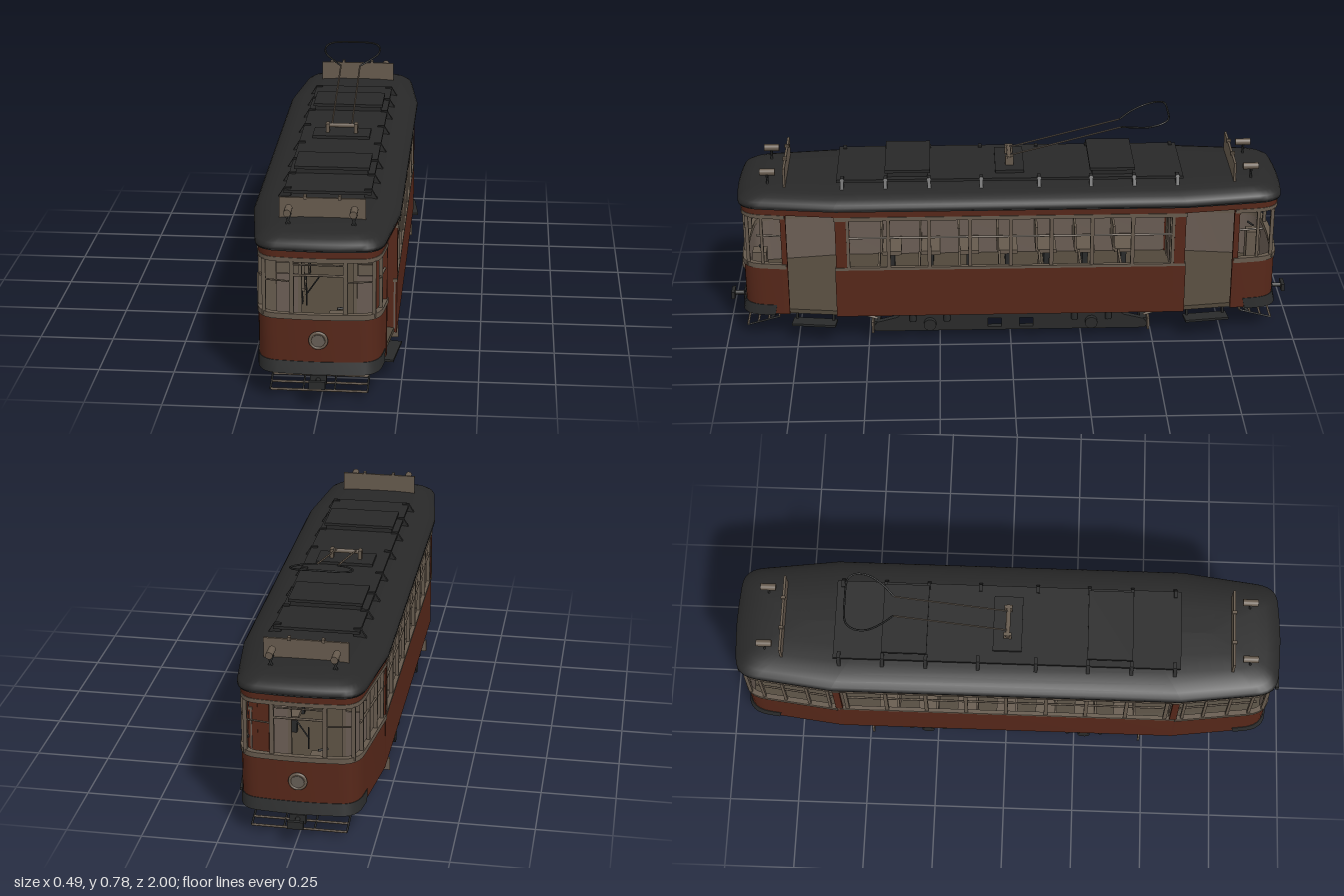
import * as THREE from 'three';
import { toCreasedNormals } from 'three/addons/utils/BufferGeometryUtils.js';

const mat = (name, color) => {
  const m = new THREE.MeshStandardMaterial({ color });
  m.name = name;
  return m;
};

export function createModel() {
  const red = mat('body red', 0x562719);
  const trim = mat('window trim brown', 0x665a4d);
  const lining = mat('interior lining', 0x6a5d54);
  const roofGrey = mat('roof grey', 0x282828);
  const iron = mat('iron', 0x292a2a);
  const apronGrey = mat('apron grey', 0x2c2d2d);
  const floorBrown = mat('floor brown', 0x50473a);
  const lens = mat('lamp lens', 0x655d55);

  const tram = new THREE.Group();
  tram.name = 'tram';
  tram.position.x = -0.005;

  const add = (name, geo, material) => {
    const m = new THREE.Mesh(geo, material);
    m.name = name;
    tram.add(m);
    return m;
  };
  // box from its limits on each axis
  const box = (name, x0, x1, y0, y1, z0, z1, m) => add(name,
    new THREE.BoxGeometry(x1 - x0, y1 - y0, Math.abs(z1 - z0))
      .translate((x0 + x1) / 2, (y0 + y1) / 2, (z0 + z1) / 2), m);
  const rod = (name, a, b, r, m, sides = 8) => {
    const p = new THREE.Vector3(...a), q = new THREE.Vector3(...b);
    const o = add(name, new THREE.CylinderGeometry(r, r, p.distanceTo(q), sides), m);
    o.position.copy(p).add(q).multiplyScalar(0.5);
    o.quaternion.setFromUnitVectors(new THREE.Vector3(0, 1, 0), q.sub(p).normalize());
    return o;
  };
  // flat plan shape of [x, z] points raised from y0 to y1
  const plate = (name, pts, y0, y1, m) => add(name, toCreasedNormals(
    new THREE.ExtrudeGeometry(new THREE.Shape(pts.map(([x, z]) => new THREE.Vector2(x, -z))),
      { depth: y1 - y0, bevelEnabled: false }).rotateX(-Math.PI / 2).translate(0, y0, 0), 0.6), m);
  // shifts a plan path outward by d
  const offset = (path, d) => path.map(([x, z], i) => {
    const dir = (a, b) => new THREE.Vector2(b[0] - a[0], b[1] - a[1]).normalize();
    const t1 = dir(path[Math.max(i - 1, 0)], path[Math.max(i, 1)]);
    const t2 = i < path.length - 1 ? dir(path[i], path[i + 1]) : t1;
    const t = t1.clone().add(t2).normalize();
    const k = d / t.dot(t1);
    return [x + t.y * k, z - t.x * k];
  });
  // wall strip following a plan path, between offsets d0 and d1
  const band = (name, path, y0, y1, d0, d1, m) =>
    plate(name, [...offset(path, d1), ...offset(path, d0).reverse()], y0, y1, m);

  // plan of the body: tapered ends with rounded corners
  const corner = new THREE.QuadraticBezierCurve(new THREE.Vector2(0.198, 0.856),
    new THREE.Vector2(0.19, 0.93), new THREE.Vector2(0.13, 0.933));
  const quarter = [[0.23, 0.6], ...corner.getPoints(6).map((p) => p.toArray()), [0.065, 0.938], [0, 0.94]];
  const front = [...quarter, ...quarter.slice(0, -1).reverse().map(([x, z]) => [-x, z])];
  const back = front.map(([x, z]) => [-x, -z]);
  const plan = [...front, ...back];
  const ring = [[0.23, 0], ...plan, [0.23, 0]];
  const taperX = (z) => 0.23 - (Math.abs(z) - 0.6) * 0.125;
  const shell = [[taperX(0.78), 0.78], ...front.slice(1), ...back.slice(0, -1), [taperX(0.78), -0.78]];
  const side = [[0.23, -0.61], [0.23, 0.61]];

  // walls, with the left side open at both doors
  for (const path of [shell, side]) {
    band('lowerPanel', path, 0.105, 0.287, -0.006, 0, red);
    band('wallLining', path, 0.12, 0.287, -0.011, -0.006, lining);
    band('windowTopRail', path, 0.476, 0.49, -0.012, 0.002, trim);
  }
  band('frieze', ring, 0.49, 0.518, -0.008, 0, red);
  band('friezeLining', ring, 0.488, 0.518, -0.013, -0.008, lining);
  band('eaveTrim', ring, 0.514, 0.522, -0.002, 0.009, roofGrey);
  plate('floor', plan.map(([x, z]) => [x * 0.965, z * 0.99]), 0.106, 0.122, floorBrown);
  plate('ceiling', plan.map(([x, z]) => [x * 0.97, z * 0.99]), 0.514, 0.518, lining);

  // window posts and middle bars
  const post = (x, z, w = 0.01) => box('windowPost', x - 0.006, x + 0.006, 0.29, 0.478, z - w / 2, z + w / 2, trim);
  for (const s of [-1, 1]) {
    for (let i = -4; i <= 4; i++) post(s * 0.223, i * 0.141, 0.013);
    box('sideSill', s * 0.224 - 0.007, s * 0.224 + 0.007, 0.286, 0.296, -0.61, 0.61, trim);
    rod('middleBar', [s * 0.224, 0.408, -0.565], [s * 0.224, 0.408, 0.565], 0.004, trim, 6);
    for (const e of [-1, 1]) {
      box('bodyPillar', s > 0 ? 0.2 : -0.23, s > 0 ? 0.23 : -0.218, 0.105, 0.515, e * (s > 0 ? 0.568 : 0.582), e * 0.606, red);
      const x = (z) => s * (taperX(z) - 0.006);
      for (const z of s < 0 ? [0.625, 0.7, 0.785, 0.862] : [0.862]) post(x(z), e * z);
      const z0 = s < 0 ? 0.61 : 0.785;
      rod('endSideBar', [x(z0), 0.408, e * z0], [x(0.88), 0.408, e * 0.88], 0.004, trim, 6);
      post(s * 0.174, e * 0.913, 0.012);
      box('frontPost', s * 0.085 - 0.007, s * 0.085 + 0.007, 0.298, 0.478, e * 0.923, e * 0.935, trim);
      rod('frontSideBar', [s * 0.085, 0.408, e * 0.93], [s * 0.172, 0.408, e * 0.915], 0.003, trim, 6);
      // partition between platform and saloon, red beside the door
      box('partition', s > 0 ? 0.095 : -0.22, s > 0 ? 0.22 : -0.095, 0.122, 0.3, e * 0.592, e * 0.6, lining);
      box('partitionPost', s * 0.092 - 0.006, s * 0.092 + 0.006, 0.122, 0.515, e * 0.59, e * 0.602, trim);
      box('partitionSide', s > 0 ? 0.162 : -0.22, s > 0 ? 0.226 : -0.17, 0.122, 0.515, e * 0.588, e * 0.605, s > 0 ? red : trim);
      for (const y of [0.345, 0.36, 0.375]) rod('guardBar', [s * 0.092, y, e * 0.596], [s * 0.17, y, e * 0.596], 0.0025, trim, 6);
    }
    // saloon benches, handrail and straps
    for (let i = -3; i <= 3; i++) {
      const x0 = s > 0 ? 0.09 : -0.215, x1 = x0 + 0.125;
      box('seat', x0, x1, 0.18, 0.195, i * 0.141 - 0.035, i * 0.141 + 0.035, trim);
      box('seatBack', x0, x1, 0.19, 0.285, i * 0.141 + 0.033, i * 0.141 + 0.041, trim);
      box('seatLeg', x0 + 0.01, x1 - 0.01, 0.12, 0.18, i * 0.141 - 0.01, i * 0.141 + 0.01, iron);
    }
    rod('strapRail', [s * 0.12, 0.49, -0.57], [s * 0.12, 0.49, 0.57], 0.004, trim);
    for (const z of [0.41, 0.17, 0.07, -0.06, -0.16, -0.29, -0.37]) {
      rod('strap', [s * 0.12, 0.49, z], [s * 0.12, 0.46, z], 0.002, iron, 5);
      const loop = add('strapLoop', new THREE.TorusGeometry(0.01, 0.002, 5, 12), iron);
      loop.position.set(s * 0.12, 0.45, z);
      loop.rotation.y = Math.PI / 2;
    }
  }

  // domed roof lofted from shrinking plan rings: [inset, height]
  const levels = [[0, 0.516], [-0.01, 0.519], [-0.01, 0.529], [-0.004, 0.538], [0.014, 0.55], [0.04, 0.56], [0.08, 0.567], [0.14, 0.57], [0.23, 0.571]];
  const pos = [], idx = [], n = plan.length;
  levels.forEach(([d, y]) => plan.forEach(([x, z]) => pos.push(x * (1 - d / 0.23), y, z * (1 - d / 0.94))));
  for (let l = 0; l < levels.length - 1; l++) for (let i = 0; i < n; i++) {
    const a = l * n + i, b = l * n + (i + 1) % n;
    idx.push(a, a + n, b, b, a + n, b + n);
  }
  const roof = new THREE.BufferGeometry();
  roof.setAttribute('position', new THREE.Float32BufferAttribute(pos, 3));
  roof.setIndex(idx);
  roof.computeVertexNormals();
  add('roof', roof, roofGrey);

  // roof deck, its brackets and hatches
  box('roofDeck', -0.143, 0.143, 0.582, 0.592, -0.6, 0.6, roofGrey);
  for (const s of [-1, 1]) for (const z of [-0.58, -0.43, -0.28, -0.1, 0.1, 0.28, 0.43, 0.58]) {
    const tri = new THREE.Shape([[0.12, 0.555], [0.168, 0.555], [0.143, 0.597], [0.12, 0.597]].map(([x, y]) => new THREE.Vector2(s * x, y)));
    add('deckBracket', new THREE.ExtrudeGeometry(tri, { depth: 0.012, bevelEnabled: false }).translate(0, 0, z - 0.006), roofGrey);
  }
  for (const s of [-1, 1]) {
    box('hatch', -0.12, 0.12, 0.59, 0.61, s * 0.285, s * 0.425, roofGrey);
    box('hatchLid', -0.126, 0.126, 0.608, 0.618, s * 0.277, s * 0.433, roofGrey);
  }

  // bow collector
  box('collectorBase', -0.1, 0.1, 0.59, 0.602, -0.05, 0.05, roofGrey);
  rod('collectorPivot', [-0.058, 0.626, 0], [0.058, 0.626, 0], 0.008, trim);
  for (const s of [-1, 1]) {
    box('collectorStand', s * 0.05 - 0.006, s * 0.05 + 0.006, 0.6, 0.634, -0.014, 0.014, trim);
    rod('collectorArm', [s * 0.035, 0.63, 0], [s * 0.035, 0.732, -0.39], 0.003, trim);
  }
  const bow = [[0.035, 0.732, -0.39], [0.068, 0.744, -0.425], [0.098, 0.756, -0.475], [0.1, 0.768, -0.52], [0.08, 0.775, -0.546]];
  const bowPts = [...bow, [0, 0.778, -0.553], ...bow.map(([x, y, z]) => [-x, y, z]).reverse()].map((p) => new THREE.Vector3(...p));
  add('collectorBow', new THREE.TubeGeometry(new THREE.CatmullRomCurve3(bowPts), 60, 0.0034, 6), iron);

  // wrap-round end sills
  const endSill = shell.slice(0, front.length - 1);
  band('endSill', [...endSill, [-0.23, 0.6]], 0.284, 0.302, -0.014, 0.004, trim);
  band('endSill', [[-0.23, -0.6], ...endSill.map(([x, z]) => [x, -z]).reverse()], 0.284, 0.302, -0.014, 0.004, trim);

  // fittings at both ends
  for (const e of [-1, 1]) {
    const end = e > 0 ? front : back;
    box('doorPillar', taperX(0.78) - 0.014, taperX(0.78), 0.105, 0.515, e * 0.776, e * 0.795, red);
    rod('frontTransom', [-0.085, 0.43, e * 0.931], [0.085, 0.43, e * 0.931], 0.004, trim, 6);
    rod('frontHeader', [-0.085, 0.465, e * 0.931], [0.085, 0.465, e * 0.931], 0.003, trim, 6);
    const apronPath = [[e * taperX(0.82), e * 0.82], ...end.slice(1, -1), [-e * taperX(0.82), e * 0.82]];
    const apron = band('apron', apronPath, 0.1, 0.14, -0.004, 0.002, apronGrey);
    const p = apron.geometry.attributes.position;
    for (let i = 0; i < p.count; i++) if (p.getY(i) < 0.12) p.setZ(i, p.getZ(i) * 1.01);
    apron.geometry = toCreasedNormals(apron.geometry, 0.6);
    // headlight
    rod('headlight', [0, 0.217, e * 0.93], [0, 0.217, e * 0.95], 0.026, trim, 24);
    add('headlightRim', new THREE.TorusGeometry(0.026, 0.005, 8, 28), trim).position.set(0, 0.217, e * 0.948);
    rod('headlightLens', [0, 0.217, e * 0.949], [0, 0.217, e * 0.952], 0.02, lens, 24);
    // wiper and driver's controller
    rod('wiperArm', [0.003, 0.43, e * 0.942], [-0.038, 0.37, e * 0.944], 0.0025, iron, 5);
    rod('wiperBlade', [-0.036, 0.41, e * 0.945], [-0.036, 0.335, e * 0.945], 0.0025, iron, 5);
    box('controller', e * 0.055 - 0.025, e * 0.055 + 0.025, 0.12, 0.285, e * 0.86, e * 0.91, trim);
    rod('controllerHandle', [e * 0.055, 0.3, e * 0.885], [e * 0.085, 0.3, e * 0.87], 0.004, iron);
    // headboard and roof lamps
    box('headboard', -0.138, 0.138, 0.56, 0.634, e * 0.776, e * 0.784, trim);
    for (const s of [-1, 1]) {
      box('headboardClip', s * 0.055 - 0.005, s * 0.055 + 0.005, 0.63, 0.642, e * 0.772, e * 0.788, trim);
      for (const d of [-1, 1]) rod('lampStand', [s * 0.104 - d * 0.009, 0.555, e * 0.84], [s * 0.104 + d * 0.009, 0.602, e * 0.84], 0.004, iron, 6);
      rod('roofLamp', [s * 0.104, 0.609, e * 0.812], [s * 0.104, 0.609, e * 0.865], 0.012, trim, 14);
    }
    // coupler
    box('couplerHead', -0.026, 0.026, 0.068, 0.1, e * 0.93, e * 0.955, iron);
    rod('couplerRod', [0, 0.085, e * 0.8], [0, 0.085, e * 0.99], 0.008, iron);
    box('couplerPlate', -0.026, 0.026, 0.072, 0.098, e * 0.988, e, iron);
    // sloping lifeguard rack
    for (let i = 0; i < 4; i++) {
      const z = 0.82 + i * 0.037, y = 0.068 - i * 0.01;
      rod('rackBar', [-0.155, y, e * z], [0.155, y, e * z], 0.004, trim, 6);
    }
    for (const x of [-0.155, -0.05, 0.05, 0.155]) rod('rackRib', [x, 0.068, e * 0.82], [x, 0.038, e * 0.931], 0.0035, iron, 6);
    for (const s of [-1, 1]) rod('rackHanger', [s * 0.15, 0.11, e * 0.8], [s * 0.15, 0.06, e * 0.85], 0.005, iron, 6);
    // entrance step
    const step = new THREE.Group();
    step.name = 'entranceStep';
    const tread = new THREE.Mesh(new THREE.BoxGeometry(0.05, 0.008, 0.155), iron);
    tread.name = 'stepTread';
    step.add(tread);
    for (const z of [-0.065, 0.065]) {
      const hanger = new THREE.Mesh(new THREE.BoxGeometry(0.01, 0.045, 0.008), iron);
      hanger.name = 'stepHanger';
      hanger.position.set(-0.018, 0.02, z);
      step.add(hanger);
    }
    step.position.set(0.213, 0.074, e * 0.69);
    step.rotation.y = -e * 0.124;
    tram.add(step);
    // truck end board and beam, axle and wheels
    box('truckEndBoard', -0.23, 0.23, 0.036, 0.08, e * 0.482, e * 0.49, trim);
    box('truckEndBeam', -0.2, 0.2, 0.032, 0.066, e * 0.46, e * 0.482, iron);
    rod('axle', [-0.19, 0.055, e * 0.285], [0.19, 0.055, e * 0.285], 0.01, trim, 12);
    for (const s of [-1, 1]) {
      rod('wheel', [s * 0.146, 0.055, e * 0.285], [s * 0.162, 0.055, e * 0.285], 0.046, iron, 28);
      rod('wheelFlange', [s * 0.143, 0.055, e * 0.285], [s * 0.148, 0.055, e * 0.285], 0.055, iron, 28);
      rod('axleBox', [s * 0.2, 0.06, e * 0.285], [s * 0.222, 0.06, e * 0.285], 0.022, iron, 14);
      for (const dz of [-0.06, 0.06]) rod('spring', [s * 0.213, 0.075, e * (0.285 + dz)], [s * 0.213, 0.106, e * (0.285 + dz)], 0.012, iron, 10);
      rod('truckStay', [s * 0.2, 0.08, e * 0.47], [s * 0.2, 0.108, e * 0.55], 0.005, trim, 6);
    }
  }

  // truck side frames with two openings
  const half = [[0.475, 0.03], [0.487, 0.045], [0.47, 0.066], [0.4, 0.084], [0.365, 0.113], [0.205, 0.113], [0.17, 0.092]];
  for (const s of [-1, 1]) {
    const frame = new THREE.Shape([...half, ...half.map(([z, y]) => [-z, y]).reverse()].map((p) => new THREE.Vector2(...p)));
    for (const c of [-0.056, 0.056]) frame.holes.push(new THREE.Path([[-0.024, 0.042], [-0.024, 0.076], [0.024, 0.076], [0.024, 0.042]].map(([z, y]) => new THREE.Vector2(c + z, y))));
    add('truckFrame', new THREE.ExtrudeGeometry(frame, { depth: 0.02, bevelEnabled: false })
      .rotateY(Math.PI / 2).translate(s * 0.195 - 0.01, 0, 0), iron);
    box('frameTopRail', s * 0.195 - 0.012, s * 0.195 + 0.012, 0.086, 0.098, -0.2, 0.2, iron);
  }

  const model = new THREE.Group();
  model.name = 'tramModel';
  model.add(tram);
  return model;
}
